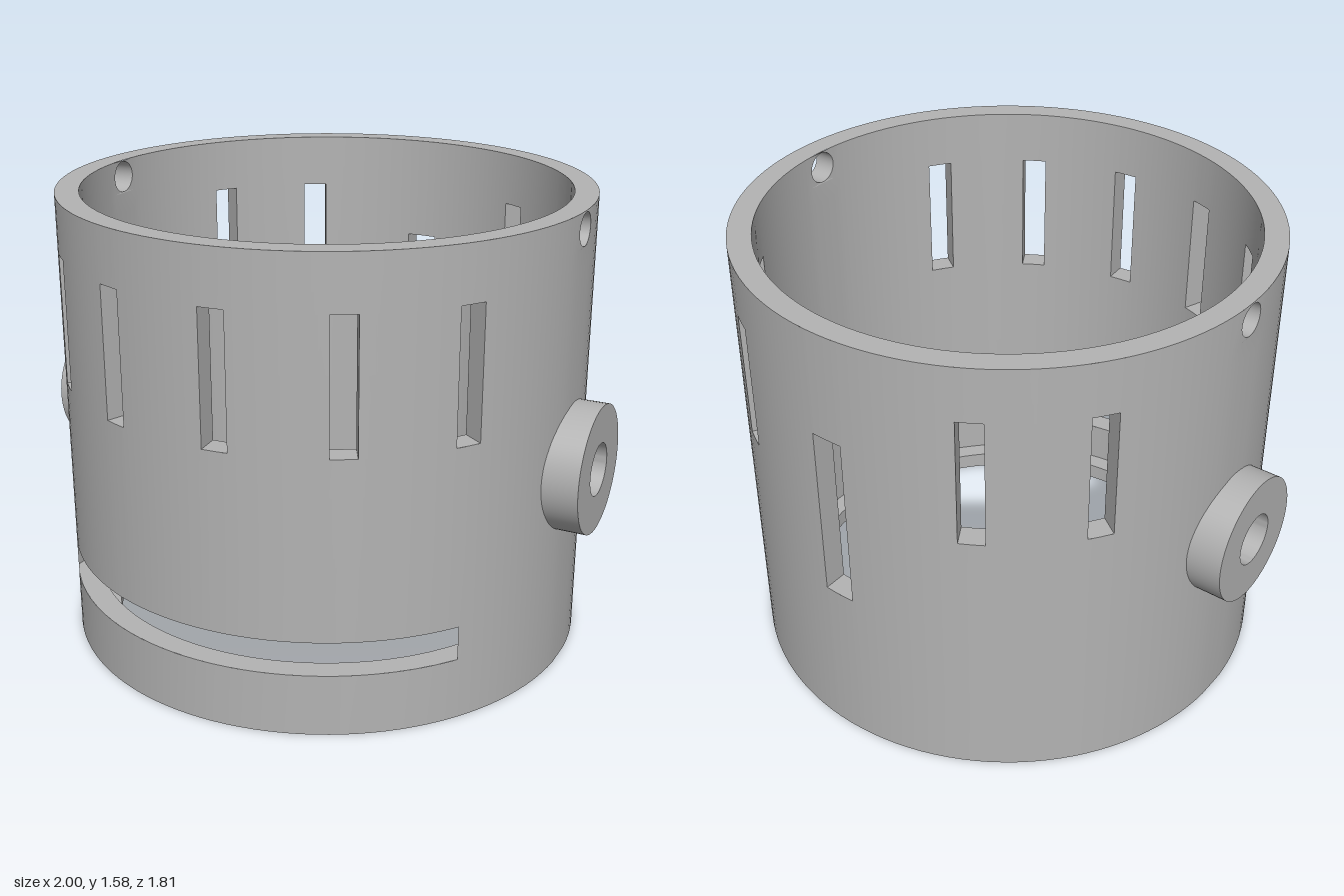
import * as THREE from 'three';
import { toCreasedNormals } from 'three/addons/utils/BufferGeometryUtils.js';

const OUTER = 0.905, INNER = 0.825, LIP = 0.76;
const HEIGHT = 1.575, LIP_HEIGHT = 0.06;
const RAD = Math.PI / 180;

// Openings: centre angle c (0 = front, 90 = +x), half width w, height range
const vents = [5, 30, 55, 125, 150, 210, 235, 315, 340]
  .map(c => ({ c, w: 0.0425, y0: 0.945, y1: 1.39 }));
const rearVent = { c: 180, w: 0.055, y0: 0.59, y1: 1.205 };
const frontSlot = { c: 0, w: 0.733, y0: 0.213, y1: 0.33 };
const pinHoles = [90, 270]
  .map(c => ({ c, w: 0.058, y0: 1.457, y1: 1.573, radius: 0.055, y: 1.515 }));
const slots = [...vents, rearVent, frontSlot];
const openings = [...slots, ...pinHoles];
// Clearance for the blind boss bores, cut in the outer skin only
const bores = [90, 270].map(c => ({ c, w: 0.1, y0: 0.62, y1: 0.82 }));

const halfAngle = (o, r) => Math.asin(o.w / r) / RAD;
const distance = (a, b) => Math.abs(((a - b + 540) % 360) - 180);

// Point on radius r, at sideways offset u from the direction c
function point(r, c, u, y) {
  const t = c * RAD + Math.asin(u / r);
  return [r * Math.sin(t), y, r * Math.cos(t)];
}

function addQuad(out, a, b, c, d) {
  out.push(...a, ...b, ...c, ...a, ...c, ...d);
}

// One cylindrical skin, gridded along the edges of its openings
function addSkin(out, r, yBottom, cuts, inward) {
  const cols = [];
  for (let a = 0; a < 360; a += 3) {
    const clear = cuts.every(o => {
      const d = distance(a, o.c), h = halfAngle(o, r);
      return Math.abs(d - h) > 0.4 && !(o.radius && d < h);
    });
    if (clear) cols.push(a);
  }
  for (const o of cuts) {
    for (const s of [-1, 1]) cols.push((o.c + s * halfAngle(o, r) + 360) % 360);
  }
  cols.sort((a, b) => a - b);
  cols.push(cols[0] + 360);
  const rows = [...new Set([yBottom, HEIGHT, ...cuts.flatMap(o => [o.y0, o.y1])])]
    .sort((a, b) => a - b);

  for (let i = 0; i < cols.length - 1; i++) {
    if (cols[i + 1] - cols[i] < 1e-6) continue;
    for (let j = 0; j < rows.length - 1; j++) {
      const [a0, a1, y0, y1] = [cols[i], cols[i + 1], rows[j], rows[j + 1]];
      const am = (a0 + a1) / 2, ym = (y0 + y1) / 2;
      if (cuts.some(o => ym > o.y0 && ym < o.y1 && distance(am, o.c) < halfAngle(o, r))) continue;
      const [l, h] = inward ? [a1, a0] : [a0, a1];
      addQuad(out, point(r, l, 0, y0), point(r, h, 0, y0), point(r, h, 0, y1), point(r, l, 0, y1));
    }
  }
}

// Faces through the wall thickness, following a closed outline of [u, y]
function addReveal(out, c, outline) {
  outline.forEach(([u0, y0], i) => {
    const [u1, y1] = outline[(i + 1) % outline.length];
    addQuad(out, point(INNER, c, u0, y0), point(OUTER, c, u0, y0),
      point(OUTER, c, u1, y1), point(INNER, c, u1, y1));
  });
}

function slotOutline({ w, y0, y1 }) {
  const n = Math.ceil(w / 0.025), line = [];
  for (let i = 0; i <= n; i++) line.push([-w + 2 * w * i / n, y0]);
  for (let i = n; i >= 0; i--) line.push([-w + 2 * w * i / n, y1]);
  return line;
}

function circleOutline({ radius, y }, n = 32) {
  return Array.from({ length: n }, (_, i) => {
    const t = 2 * Math.PI * i / n;
    return [radius * Math.cos(t), y + radius * Math.sin(t)];
  });
}

// Square patch of skin with a round hole in it
function addHolePatch(out, o, r, inward) {
  const vec = ([x, y]) => new THREE.Vector2(x, y);
  const shape = new THREE.Shape([[-o.w, o.y0], [o.w, o.y0], [o.w, o.y1], [-o.w, o.y1]].map(vec));
  shape.holes.push(new THREE.Path(circleOutline(o).map(vec)));
  const p = new THREE.ShapeGeometry(shape).toNonIndexed().getAttribute('position');
  for (let i = 0; i < p.count; i += 3) {
    for (const k of inward ? [0, 2, 1] : [0, 1, 2]) {
      out.push(...point(r, o.c, p.getX(i + k), p.getY(i + k)));
    }
  }
}

function wallGeometry() {
  const out = [];
  addSkin(out, OUTER, 0, [...openings, ...bores], false);
  addSkin(out, INNER, LIP_HEIGHT, openings, true);
  for (const o of slots) addReveal(out, o.c, slotOutline(o));
  for (const o of pinHoles) {
    addReveal(out, o.c, circleOutline(o));
    addHolePatch(out, o, OUTER, false);
    addHolePatch(out, o, INNER, true);
  }
  const g = new THREE.BufferGeometry();
  g.setAttribute('position', new THREE.Float32BufferAttribute(out, 3));
  return toCreasedNormals(g, 0.5);
}

function turned(profile, segments) {
  const points = profile.map(([x, y]) => new THREE.Vector2(x, y));
  return toCreasedNormals(new THREE.LatheGeometry(points, segments), 0.5);
}

export function createModel() {
  const group = new THREE.Group();
  const grey = new THREE.MeshStandardMaterial({ color: 0xb3b3b3 });
  grey.name = 'plain grey';
  const add = (name, geometry) => {
    const mesh = new THREE.Mesh(geometry, grey);
    mesh.name = name;
    group.add(mesh);
    return mesh;
  };

  add('slottedWall', wallGeometry());
  add('topRim', turned([[OUTER, HEIGHT], [INNER, HEIGHT]], 120));

  // Bottom face and the narrow inner ledge
  add('bottomLip', turned(
    [[INNER, LIP_HEIGHT], [LIP, LIP_HEIGHT], [LIP, 0], [OUTER, 0]], 120));

  // Side bosses with blind bores
  const boss = turned([[0.22, 0.84], [0.22, 1], [0.09, 1], [0.09, 0.87], [0, 0.87]], 64);
  for (const side of [-1, 1]) {
    const mesh = add(side > 0 ? 'leftBoss' : 'rightBoss', boss);
    mesh.rotation.z = -side * Math.PI / 2;
    mesh.position.y = 0.718;
  }
  return group;
}
